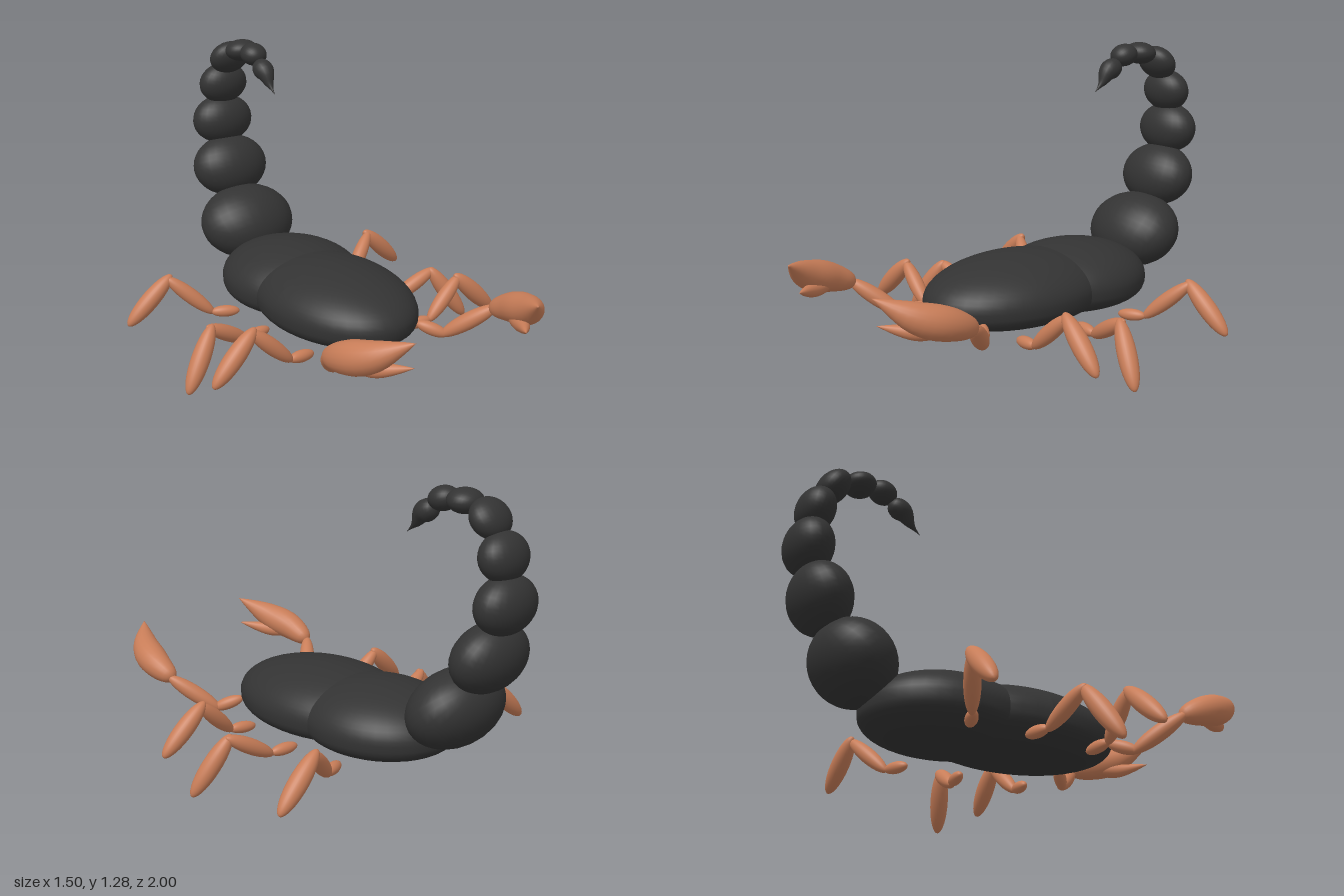
import * as THREE from 'three';
import { mergeVertices } from 'three/addons/utils/BufferGeometryUtils.js';

const shell = new THREE.MeshStandardMaterial({ color: 0x333333 });
shell.name = 'charcoal shell';
const copper = new THREE.MeshStandardMaterial({ color: 0xc87d58 });
copper.name = 'copper limb';

const UP = new THREE.Vector3(0, 1, 0);
const sphere = new THREE.SphereGeometry(1, 28, 18);

function addMesh(parent, name, geometry, material) {
  const mesh = new THREE.Mesh(geometry, material);
  mesh.name = name;
  parent.add(mesh);
  return mesh;
}

// Ellipsoid stretched between two points
function pod(parent, name, from, to, radius) {
  const a = new THREE.Vector3(...from);
  const b = new THREE.Vector3(...to);
  const mesh = addMesh(parent, name, sphere, copper);
  mesh.position.copy(a).add(b).multiplyScalar(0.5);
  mesh.scale.set(radius, a.distanceTo(b) / 2, radius);
  mesh.quaternion.setFromUnitVectors(UP, b.sub(a).normalize());
}

// Round profile [radius, t] bent along a curve through the given points
function horn(parent, name, points, profile, material) {
  const path = new THREE.CatmullRomCurve3(points.map((p) => new THREE.Vector3(...p)));
  const outline = new THREE.SplineCurve(profile.map((p) => new THREE.Vector2(...p)))
    .getPoints(20).map((p) => new THREE.Vector2(Math.max(p.x, 0), THREE.MathUtils.clamp(p.y, 0, 1)));
  let geo = new THREE.LatheGeometry(outline, 20);
  const pos = geo.attributes.position;
  for (let i = 0; i < pos.count; i++) {
    const t = pos.getY(i);
    const dir = path.getTangentAt(t);
    const side = new THREE.Vector3().crossVectors(dir, UP).normalize();
    const top = new THREE.Vector3().crossVectors(side, dir);
    const p = path.getPointAt(t).addScaledVector(side, pos.getX(i)).addScaledVector(top, pos.getZ(i));
    pos.setXYZ(i, p.x, p.y, p.z);
  }
  geo.deleteAttribute('uv');
  geo.deleteAttribute('normal');
  geo = mergeVertices(geo, 1e-5);
  geo.computeVertexNormals();
  addMesh(parent, name, geo, material);
}

// Domed body shell with a flattened belly
function bodyShell(parent, name, z, halfLength) {
  const geo = new THREE.SphereGeometry(1, 40, 28);
  const pos = geo.attributes.position;
  for (let i = 0; i < pos.count; i++) {
    const y = pos.getY(i);
    const height = y > 0 ? y * 0.17 : -0.13 * Math.pow(-y, 0.7);
    pos.setXYZ(i, pos.getX(i) * 0.31, height, pos.getZ(i) * halfLength);
  }
  geo.computeVertexNormals();
  addMesh(parent, name, geo, shell).position.set(0, 0.25, z);
}

export function createModel() {
  const model = new THREE.Group();
  model.name = 'scorpion';

  bodyShell(model, 'frontBody', 0.06, 0.45);
  bodyShell(model, 'rearBody', -0.27, 0.36);

  // Tail segments: y, z, half width, half length, half depth, lean back from vertical
  const tail = new THREE.Group();
  tail.name = 'tail';
  model.add(tail);
  [
    [0.405, -0.68, 0.235, 0.185, 0.155, 0.8],
    [0.65, -0.835, 0.19, 0.148, 0.122, 0.4],
    [0.868, -0.9, 0.153, 0.118, 0.099, 0.1],
    [1.048, -0.883, 0.121, 0.098, 0.08, -0.2],
    [1.182, -0.815, 0.097, 0.085, 0.062, -0.65],
    [1.232, -0.695, 0.078, 0.07, 0.05, -1.5],
    [1.228, -0.59, 0.06, 0.064, 0.05, -1.8],
  ].forEach(([y, z, w, l, d, lean], i) => {
    const seg = addMesh(tail, 'tailSegment' + (i + 1), sphere, shell);
    seg.position.set(0, y, z);
    seg.scale.set(w, l, d);
    seg.rotation.x = -lean;
  });
  horn(tail, 'stinger', [[0, 1.19, -0.56], [0, 1.16, -0.49], [0, 1.11, -0.45], [0, 1.07, -0.405]],
    [[0, 0], [0.035, 0.1], [0.046, 0.32], [0.028, 0.58], [0.009, 0.8], [0, 1]], shell);

  // Joint points of the three legs: hip, ankle of hip, knee, foot
  const legs = {
    front: [[0.24, 0.13, 0.26], [0.37, 0.14, 0.28], [0.545, 0.305, 0.262], [0.725, 0.11, 0.285]],
    middle: [[0.27, 0.135, -0.045], [0.4, 0.13, -0.025], [0.605, 0.245, 0.015], [0.735, 0.003, 0.085]],
    rear: [[0.27, 0.13, -0.3], [0.39, 0.135, -0.345], [0.56, 0.305, -0.445], [0.745, 0.11, -0.46]],
  };
  for (const s of [1, -1]) {
    const label = s > 0 ? 'left' : 'right';
    const m = ([x, y, z]) => [x * s, y, z];

    for (const [key, joints] of Object.entries(legs)) {
      const leg = new THREE.Group();
      leg.name = label + key[0].toUpperCase() + key.slice(1) + 'Leg';
      model.add(leg);
      const [hip, ankle, knee, foot] = joints.map(m);
      pod(leg, 'hip', hip, ankle, 0.026);
      pod(leg, 'thigh', [ankle[0] - 0.015 * s, ankle[1] - 0.01, ankle[2]], knee, 0.034);
      pod(leg, 'shin', [knee[0] - 0.03 * s, knee[1] + 0.007, knee[2]], foot, 0.04);
    }

    // Pincer arm
    const arm = new THREE.Group();
    arm.name = label + 'Pincer';
    model.add(arm);
    pod(arm, 'shoulder', m([0.19, 0.21, 0.4]), m([0.29, 0.16, 0.49]), 0.028);
    pod(arm, 'forearm', m([0.27, 0.155, 0.465]), m([0.43, 0.31, 0.635]), 0.036);
    horn(arm, 'claw',
      [[0.415, 0.3, 0.615], [0.418, 0.345, 0.74], [0.385, 0.385, 0.86], [0.295, 0.468, 1.0]].map(m),
      [[0, 0], [0.034, 0.05], [0.056, 0.2], [0.068, 0.42], [0.056, 0.65], [0.024, 0.87], [0, 1]], copper);
    horn(arm, 'clawFinger',
      [[0.4, 0.325, 0.74], [0.36, 0.325, 0.85], [0.272, 0.352, 0.968]].map(m),
      [[0, 0], [0.025, 0.12], [0.033, 0.4], [0.018, 0.75], [0, 1]], copper);
  }
  return model;
}
